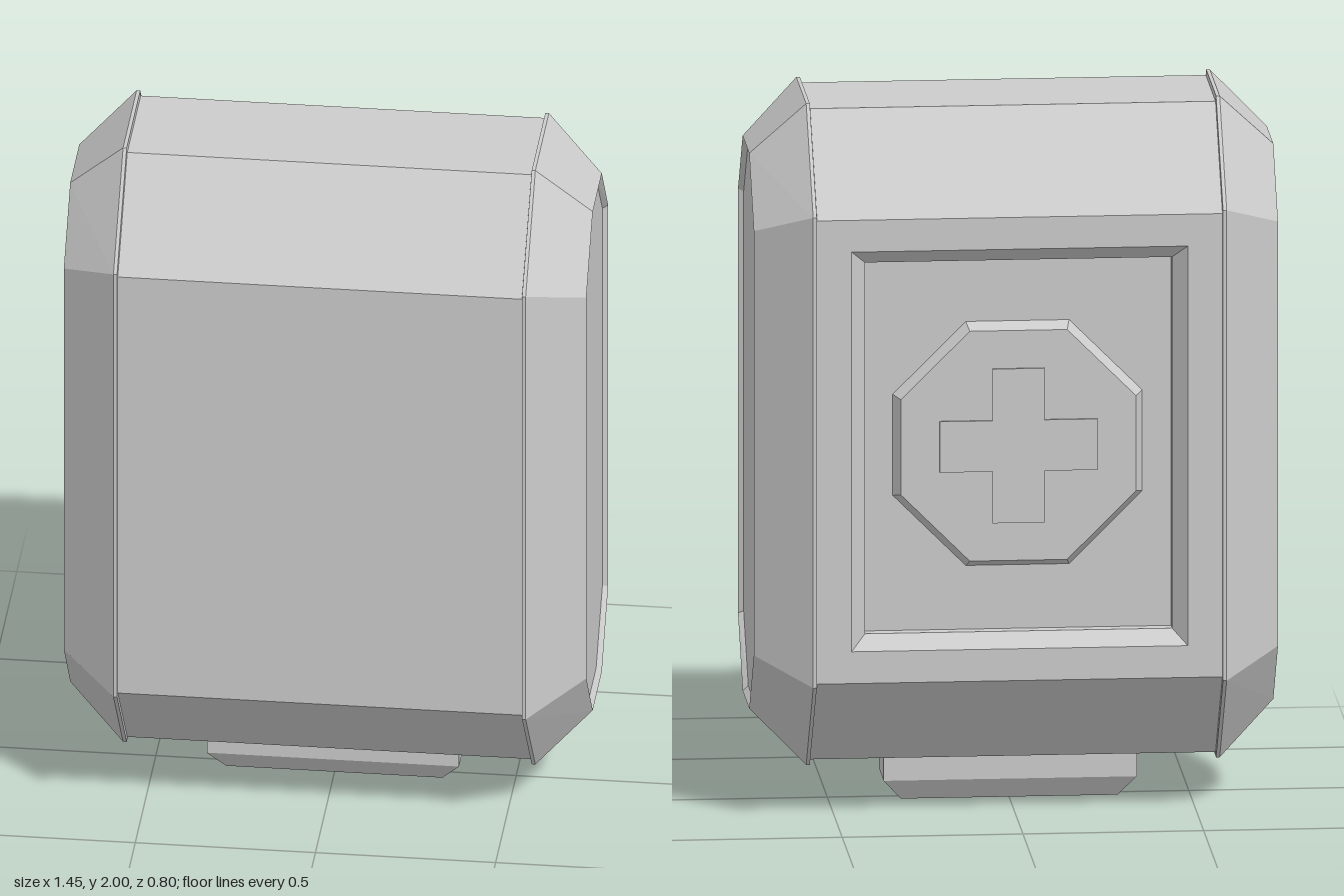
import * as THREE from 'three';

const material = new THREE.MeshStandardMaterial({ color: 0xcccccc, flatShading: true });
const MID_Y = 1.065;

// Joins rings of points with flat quads; rings run counter-clockwise seen from the far end.
function loft(name, rings, { start = false, end = false, skip = -1 } = {}) {
  const pos = [];
  const tri = (...pts) => pts.forEach((p) => pos.push(...p));
  for (let r = 0; r < rings.length - 1; r++) {
    const A = rings[r], B = rings[r + 1];
    A.forEach((a, i) => {
      if (i === skip) return;
      const j = (i + 1) % A.length;
      tri(a, A[j], B[j]);
      tri(a, B[j], B[i]);
    });
  }
  const fan = (ring) => {
    for (let i = 1; i < ring.length - 1; i++) tri(ring[0], ring[i], ring[i + 1]);
  };
  if (start) fan([...rings[0]].reverse());
  if (end) fan(rings[rings.length - 1]);
  const geometry = new THREE.BufferGeometry();
  geometry.setAttribute('position', new THREE.Float32BufferAttribute(pos, 3));
  geometry.computeVertexNormals();
  const mesh = new THREE.Mesh(geometry, material);
  mesh.name = name;
  return mesh;
}

// Chamfered section across x: half depth, half height, and the flat part of each
const section = (x, hz, hy, fz, fy) =>
  [[-hz, -fy], [-hz, fy], [-fz, hy], [fz, hy], [hz, fy], [hz, -fy], [fz, -hy], [-fz, -hy]]
    .map(([z, y]) => [x, MID_Y + y, z]);

// Rectangle facing the back
const backRect = (hx, hy, z) =>
  [[hx, -hy], [-hx, -hy], [-hx, hy], [hx, hy]].map(([x, y]) => [x, MID_Y + y, z]);

// Regular octagon facing the back, given its half width
const backOctagon = (half, z) =>
  Array.from({ length: 8 }, (_, i) => {
    const a = ((i + 0.5) * Math.PI) / 4, r = half / Math.cos(Math.PI / 8);
    return [-r * Math.cos(a), MID_Y + r * Math.sin(a), z];
  });

// Horizontal rectangle
const flatRect = (hx, hz, y) => [[hx, y, hz], [hx, y, -hz], [-hx, y, -hz], [-hx, y, hz]];

// Tapered end with a shallow recessed panel
function endCap(name) {
  return loft(name, [
    section(0.56, 0.39, 0.915, 0.16, 0.655),
    section(0.562, 0.4, 0.935, 0.165, 0.665),
    section(0.572, 0.4, 0.935, 0.165, 0.665),
    section(0.725, 0.265, 0.785, 0.11, 0.6),
    section(0.71, 0.257, 0.77, 0.104, 0.593),
  ], { end: true });
}

// Slightly raised plus sign on the medallion
function plusMark() {
  const a = 0.218, w = 0.072;
  const shape = new THREE.Shape(
    [[w, a], [-w, a], [-w, w], [-a, w], [-a, -w], [-w, -w],
      [-w, -a], [w, -a], [w, -w], [a, -w], [a, w], [w, w]]
      .map(([x, y]) => new THREE.Vector2(x, y)));
  const mesh = new THREE.Mesh(
    new THREE.ExtrudeGeometry(shape, { depth: 0.012, bevelEnabled: false }), material);
  mesh.name = 'plusMark';
  mesh.position.set(0, MID_Y, -0.356);
  return mesh;
}

export function createModel() {
  const model = new THREE.Group();
  model.name = 'model';

  // Shell, left open where the back panel sits
  model.add(loft('shell', [
    section(-0.562, 0.395, 0.92, 0.163, 0.655),
    section(0.562, 0.395, 0.92, 0.163, 0.655),
  ], { skip: 0 }));

  // Back panel: frame, bevel, step and floor
  model.add(loft('backPanel', [
    backRect(0.562, 0.655, -0.395),
    backRect(0.465, 0.565, -0.395),
    backRect(0.425, 0.525, -0.35),
    backRect(0.425, 0.525, -0.315),
  ], { end: true }));

  // Medallion on the floor of the panel
  model.add(loft('medallion', [
    backOctagon(0.345, -0.315),
    backOctagon(0.325, -0.35),
  ], { end: true }));
  model.add(plusMark());

  // Ends
  const leftEnd = endCap('leftEnd');
  const rightEnd = endCap('rightEnd');
  rightEnd.rotation.y = Math.PI;
  model.add(leftEnd, rightEnd);

  // Foot plug under the shell
  model.add(loft('footPlug', [
    flatRect(0.3, 0.035, 0),
    flatRect(0.35, 0.075, 0.06),
    flatRect(0.35, 0.075, 0.16),
  ], { start: true, end: true }));

  return model;
}
